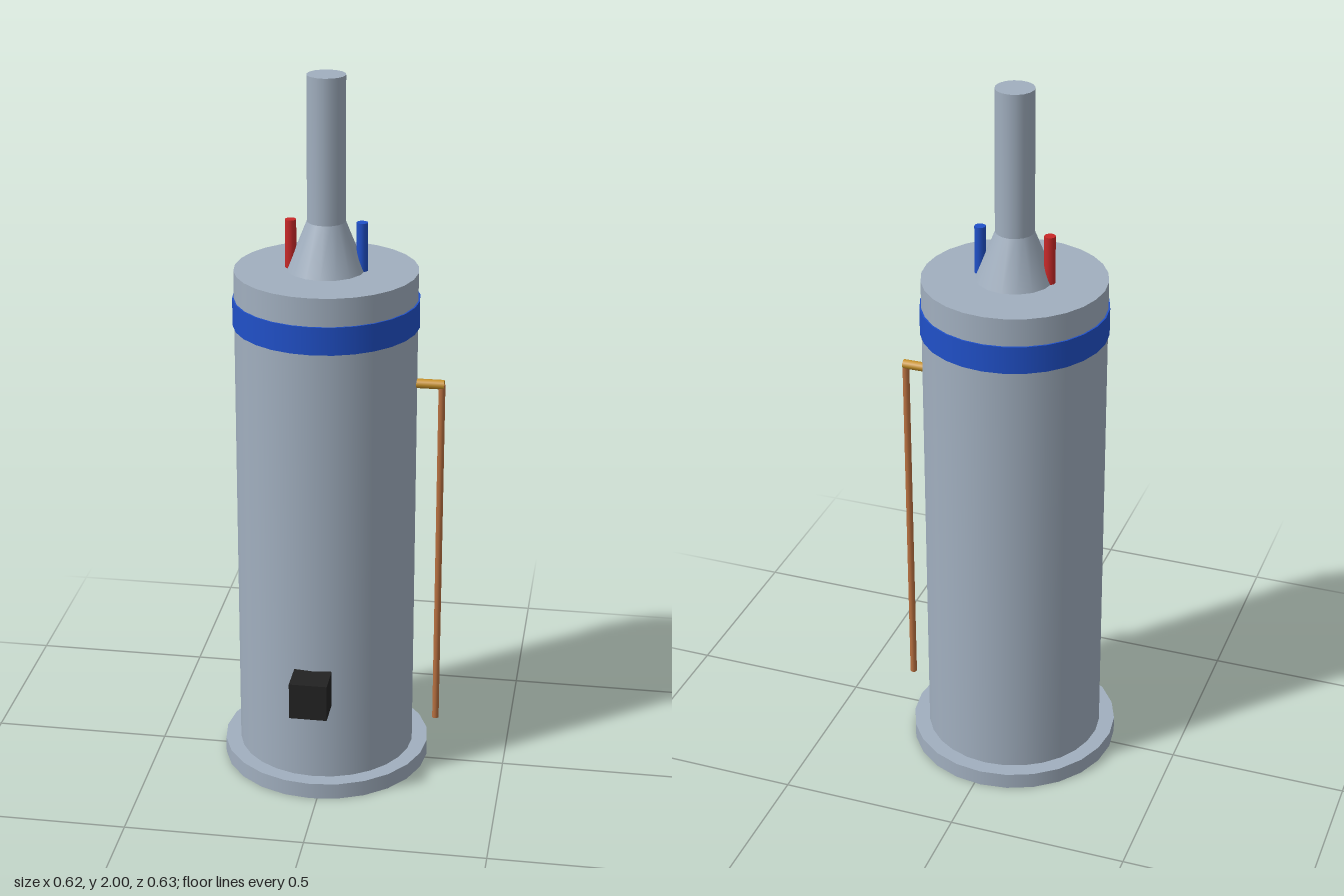
import * as THREE from 'three';

const material = (name, color) => {
  const m = new THREE.MeshStandardMaterial({ color });
  m.name = name;
  return m;
};

export function createModel() {
  const steel = material('steel grey', 0xa1afbf);
  const blue = material('blue', 0x2050c8);
  const red = material('red', 0xc82828);
  const brass = material('brass', 0xc8922a);
  const copper = material('copper', 0xb87040);
  const black = material('black', 0x222222);

  const model = new THREE.Group();
  model.name = 'waterHeater';

  // Tank axis; every part is placed relative to it
  const tank = new THREE.Group();
  tank.name = 'tankAssembly';
  tank.position.set(-0.018, 0, -0.021);
  model.add(tank);

  const add = (name, geometry, mat, x, y, z) => {
    const mesh = new THREE.Mesh(geometry, mat);
    mesh.name = name;
    mesh.position.set(x, y, z);
    tank.add(mesh);
    return mesh;
  };

  // Upright cylinder or cone between two heights
  const upright = (name, mat, rTop, rBottom, y0, y1, sides, x = 0) =>
    add(name, new THREE.CylinderGeometry(rTop, rBottom, y1 - y0, sides), mat, x, (y0 + y1) / 2, 0);

  // Tank
  upright('base', steel, 0.294, 0.294, 0, 0.046, 24);
  upright('tankBody', steel, 0.25, 0.25, 0.046, 1.47, 28);
  upright('trimBand', blue, 0.2545, 0.2545, 1.315, 1.392, 28);

  // Flue
  upright('draftHood', steel, 0.0525, 0.106, 1.47, 1.604, 16);
  upright('fluePipe', steel, 0.0525, 0.0525, 1.604, 2, 16);

  // Water connections
  upright('hotInlet', red, 0.0155, 0.0155, 1.47, 1.604, 12, -0.097);
  upright('coldInlet', blue, 0.0155, 0.0155, 1.47, 1.604, 12, 0.097);

  // Relief valve and its drain pipe
  const valve = add('reliefValve', new THREE.CylinderGeometry(0.0132, 0.0132, 0.09, 10), brass, 0.279, 1.155, 0);
  valve.rotation.z = Math.PI / 2;
  upright('drainPipe', copper, 0.0095, 0.0095, 0.125, 1.155, 10, 0.318);

  // Gas control box
  add('controlBox', new THREE.BoxGeometry(0.105, 0.105, 0.105), black, 0, 0.328, 0.2815);

  return model;
}
